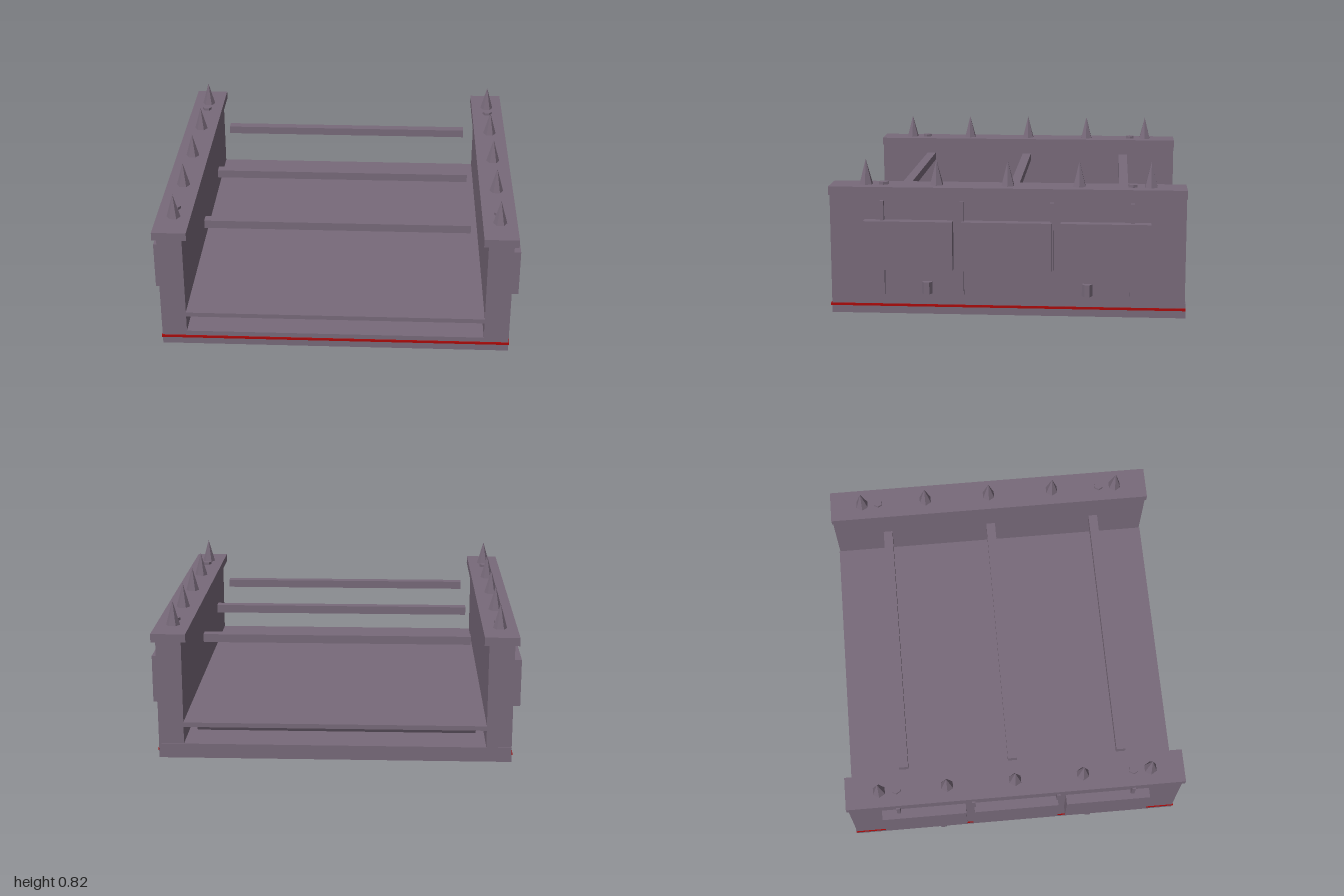
import * as THREE from 'three';

export function createModel() {
  const root = new THREE.Group();
  const stone = new THREE.MeshStandardMaterial({ color: 0x786a7a });
  stone.name = 'dusky purple';
  const red = new THREE.MeshStandardMaterial({ color: 0xaa0a0a });
  red.name = 'trim red';

  const add = (name, geometry, x, y, z, material = stone) => {
    const mesh = new THREE.Mesh(geometry, material);
    mesh.name = name;
    mesh.position.set(x, y, z);
    root.add(mesh);
    return mesh;
  };
  // box given by its limits on each axis
  const box = (name, x0, x1, y0, y1, z0, z1, material) =>
    add(name, new THREE.BoxGeometry(Math.abs(x1 - x0), y1 - y0, z1 - z0),
      (x0 + x1) / 2, (y0 + y1) / 2, (z0 + z1) / 2, material);
  // faceted six-sided column
  const hex = (top, bottom, height) => {
    const g = new THREE.CylinderGeometry(top, bottom, height, 6).toNonIndexed();
    g.computeVertexNormals();
    return g;
  };

  // base and raised deck
  box('base', -0.945, 0.945, 0, 0.08, -0.945, 0.94);
  box('deck', -0.81, 0.81, 0.175, 0.2, -0.945, 0.945);

  // rollers under the deck
  for (const z of [-0.7, -0.35, 0, 0.35, 0.7]) {
    add('roller', hex(0.052, 0.052, 1.53), 0, 0.125, z).rotation.z = Math.PI / 2;
  }

  // cross bars overhead
  for (const z of [-0.615, 0, 0.615]) {
    box('crossBar', -0.73, 0.73, 0.56, 0.605, z - 0.026, z + 0.026);
  }

  // red trim on the front and both sides
  box('frontTrim', -0.948, 0.948, 0.04, 0.053, 0.94, 0.946, red);

  for (const s of [1, -1]) {
    box('sideTrim', s * 0.944, s * 0.949, 0.04, 0.053, -0.945, 0.945, red);
    box('wall', s * 0.81, s * 0.945, 0.08, 0.65, -0.94, 0.94);
    box('wallCap', s * 0.785, s * 0.97, 0.645, 0.69, -0.942, 0.942);

    // spikes and bolts on the cap
    for (const z of [-0.755, -0.378, 0, 0.378, 0.755]) {
      add('spike', hex(0, 0.038, 0.135), s * 0.877, 0.757, z).rotation.y = Math.PI / 2;
    }
    for (const z of [-0.66, 0.66]) {
      add('capBolt', hex(0.027, 0.027, 0.016), s * 0.877, 0.697, z).rotation.y = Math.PI / 2;
    }

    // armour panels held on upright rods
    for (const z of [-0.52, 0, 0.52]) {
      box('sidePanel', s * 0.945, s, 0.25, 0.512, z - 0.236, z + 0.236);
    }
    for (const z of [-0.66, -0.238, 0.238, 0.66]) {
      box('panelRod', s * 0.94, s * 0.97, 0.11, 0.615, z - 0.01, z + 0.01);
    }

    // small lamps low on the wall
    for (const z of [-0.425, 0.425]) {
      add('sideLamp', hex(0.028, 0.028, 0.065), s * 0.953, 0.147, z);
    }
  }
  return root;
}
